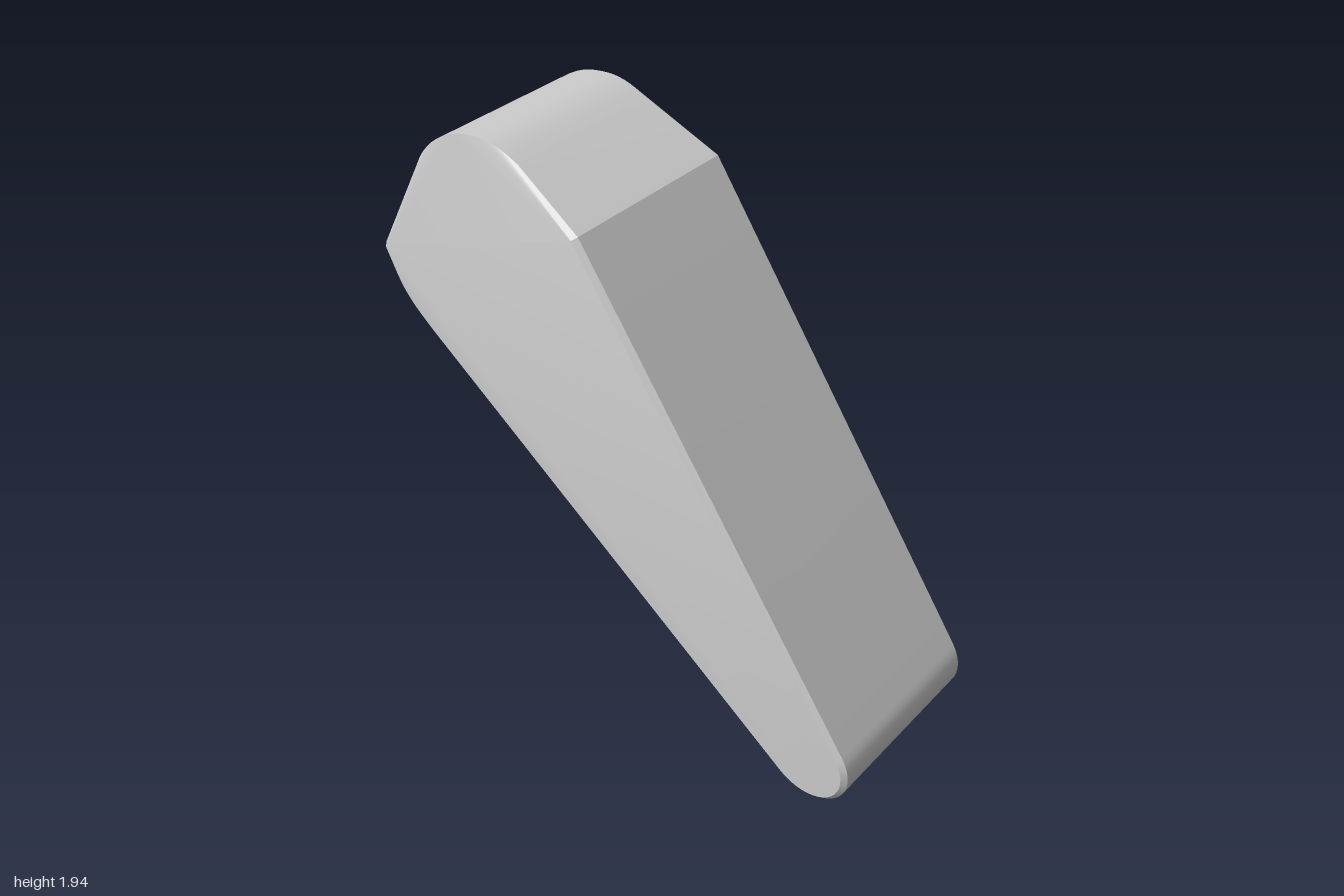
import * as THREE from 'three';
import { ConvexGeometry } from 'three/addons/geometries/ConvexGeometry.js';
import { toCreasedNormals } from 'three/addons/utils/BufferGeometryUtils.js';

const HALF = 0.345;      // half width of the body
const TOP_HALF = 0.293;  // half width along the rounded crown
const BEVEL = 0.017;

const curve = (pts, n) =>
  new THREE.SplineCurve(pts.map(([z, y]) => new THREE.Vector2(z, y))).getPoints(n);

export function createModel() {
  const group = new THREE.Group();
  group.name = 'wedge';

  // side outline as (z, y), clockwise: rounded toe, heel curve, crown, front corner
  const toe = [];
  for (let i = 0; i <= 18; i++) {
    const a = THREE.MathUtils.degToRad(35 - (160.5 * i) / 18);
    toe.push(new THREE.Vector2(0.835 + 0.165 * Math.cos(a), 0.165 + 0.165 * Math.sin(a)));
  }
  const heel = curve([[-0.8, 1.13], [-0.89, 1.205], [-0.95, 1.285], [-1, 1.4]], 10);
  const crown = curve([[-0.85, 1.71], [-0.81, 1.785], [-0.74, 1.857], [-0.64, 1.913],
    [-0.53, 1.935], [-0.45, 1.928], [-0.37, 1.9]], 20);
  const corner = [new THREE.Vector2(-0.1, 1.77)];
  const outline = [...toe, ...heel, ...crown, ...corner];

  // bevelled body edge, and a narrower crown that makes the sides lean in
  const points = [];
  outline.forEach((p, i) => {
    const isCrown = crown.includes(p);
    const prev = outline.at(i - 1);
    const next = outline[(i + 1) % outline.length];
    const d = next.clone().sub(prev).normalize();
    for (const s of [-1, 1]) {
      if (isCrown) {
        points.push(new THREE.Vector3(s * TOP_HALF, p.y, p.x));
      } else {
        points.push(new THREE.Vector3(s * (HALF - BEVEL), p.y, p.x));
        points.push(new THREE.Vector3(s * HALF, p.y - d.x * BEVEL, p.x + d.y * BEVEL));
      }
    }
  });

  const body = new THREE.Mesh(
    toCreasedNormals(new ConvexGeometry(points), 0.4),
    new THREE.MeshStandardMaterial({ color: 0xcccccc })
  );
  body.name = 'wedgeBody';
  group.add(body);
  return group;
}
